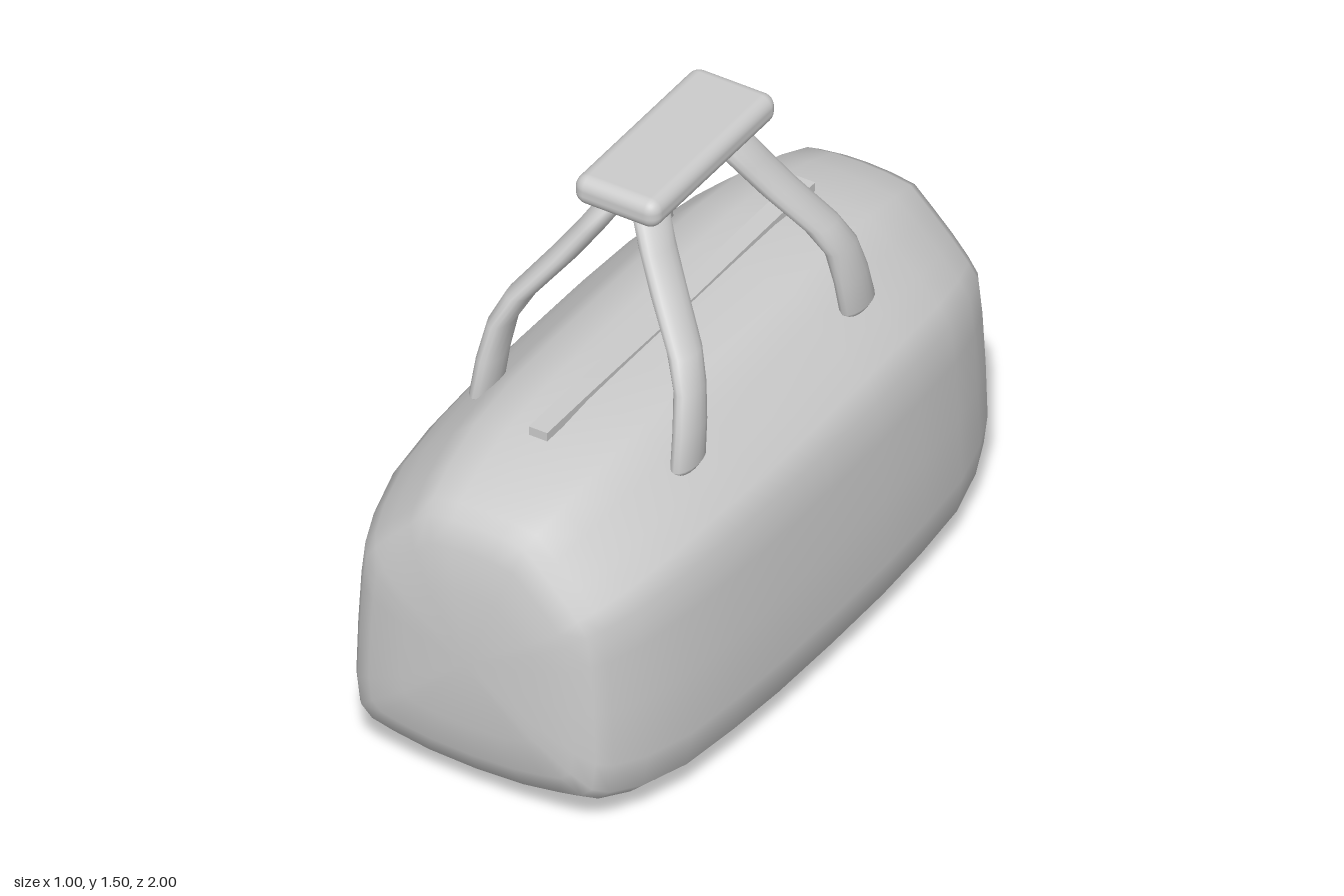
import * as THREE from 'three';
import { mergeVertices } from 'three/addons/utils/BufferGeometryUtils.js';
import { RoundedBoxGeometry } from 'three/addons/geometries/RoundedBoxGeometry.js';

const material = new THREE.MeshStandardMaterial({ color: 0xcccccc, roughness: 0.8 });

// Smooth skin over a list of closed rings of [x, y, z] points.
function loft(rings) {
  const n = rings[0].length, index = [];
  for (let i = 0; i < rings.length - 1; i++) {
    for (let j = 0; j < n; j++) {
      const k = (j + 1) % n, a = i * n, b = a + n;
      index.push(a + j, a + k, b + k, a + j, b + k, b + j);
    }
  }
  let geometry = new THREE.BufferGeometry();
  geometry.setAttribute('position', new THREE.Float32BufferAttribute(rings.flat(2), 3));
  geometry.setIndex(index);
  geometry = mergeVertices(geometry, 1e-5);
  geometry.computeVertexNormals();
  return geometry;
}

function addPart(group, name, geometry) {
  const mesh = new THREE.Mesh(geometry, material);
  mesh.name = name;
  group.add(mesh);
  return mesh;
}

// Half cross-section of the bag: x and y as fractions of half-width and height.
const half = [
  [0, 0], [0.4, 0.008], [0.7, 0.03], [0.88, 0.05], [0.97, 0.09], [1, 0.2], [0.985, 0.4],
  [0.96, 0.59], [0.93, 0.71], [0.85, 0.765], [0.72, 0.835], [0.56, 0.91], [0.4, 0.982], [0.2, 0.996], [0, 1],
];
const profile = [...half, ...half.slice(1, -1).reverse().map(([x, y]) => [-x, y])];

// Bag stations: z, half-width, bottom, top.
const stations = [
  [0, 0.5, 0, 0.962], [0.25, 0.497, 0, 0.962], [0.45, 0.487, 0.003, 0.96], [0.65, 0.468, 0.008, 0.942],
  [0.8, 0.43, 0.025, 0.905], [0.9, 0.39, 0.053, 0.872], [0.94, 0.36, 0.08, 0.845],
  [0.967, 0.31, 0.14, 0.775], [0.985, 0.2, 0.24, 0.66], [1, 0, 0.45, 0.45],
];

function bagGeometry() {
  const all = [...stations.slice(1).reverse().map(([z, ...r]) => [-z, ...r]), ...stations];
  return loft(all.map(([z, w, b, t]) => profile.map(([x, y]) => [x * w, b + y * (t - b), z])));
}

// Strap path: x, y, z of the centre, then half-thickness in x and in z.
const strapPath = [
  [0.305, 0.83, 0.408, 0, 0], [0.305, 0.832, 0.408, 0.022, 0.052], [0.305, 0.85, 0.407, 0.032, 0.07],
  [0.298, 0.95, 0.387, 0.033, 0.066], [0.283, 1.05, 0.363, 0.033, 0.06], [0.245, 1.13, 0.328, 0.037, 0.06],
  [0.155, 1.25, 0.265, 0.039, 0.062], [0.095, 1.34, 0.222, 0.038, 0.064], [0.042, 1.43, 0.178, 0.037, 0.066],
  [0.042, 1.43, 0.178, 0, 0],
];

function strapGeometry(sx, sz) {
  const sides = 16;
  return loft(strapPath.map(([x, y, z, rx, rz]) => Array.from({ length: sides }, (_, j) => {
    const a = (j / sides) * Math.PI * 2;
    return [sx * x + rx * Math.cos(a), y, sz * z - rz * Math.sin(a)];
  })));
}

export function createModel() {
  const group = new THREE.Group();
  group.name = 'duffelBag';

  addPart(group, 'bagBody', bagGeometry());

  // Four straps rising from the shoulders to the grip
  for (const sx of [1, -1]) {
    for (const sz of [1, -1]) {
      addPart(group, `${sz > 0 ? 'front' : 'back'}${sx > 0 ? 'Left' : 'Right'}Strap`, strapGeometry(sx, sz));
    }
  }

  // Padded grip joining the straps
  addPart(group, 'grip', new RoundedBoxGeometry(0.256, 0.086, 0.598, 4, 0.036)).position.set(0, 1.462, -0.014);

  // Zip strip, sagging slightly in the middle
  const zip = new THREE.BoxGeometry(0.056, 0.026, 1.29, 1, 1, 12);
  const p = zip.attributes.position;
  for (let i = 0; i < p.count; i++) {
    p.setY(i, p.getY(i) + 0.955 + 0.006 * Math.min(1, Math.abs(p.getZ(i)) / 0.4));
  }
  zip.computeVertexNormals();
  addPart(group, 'zip', zip);

  return group;
}
